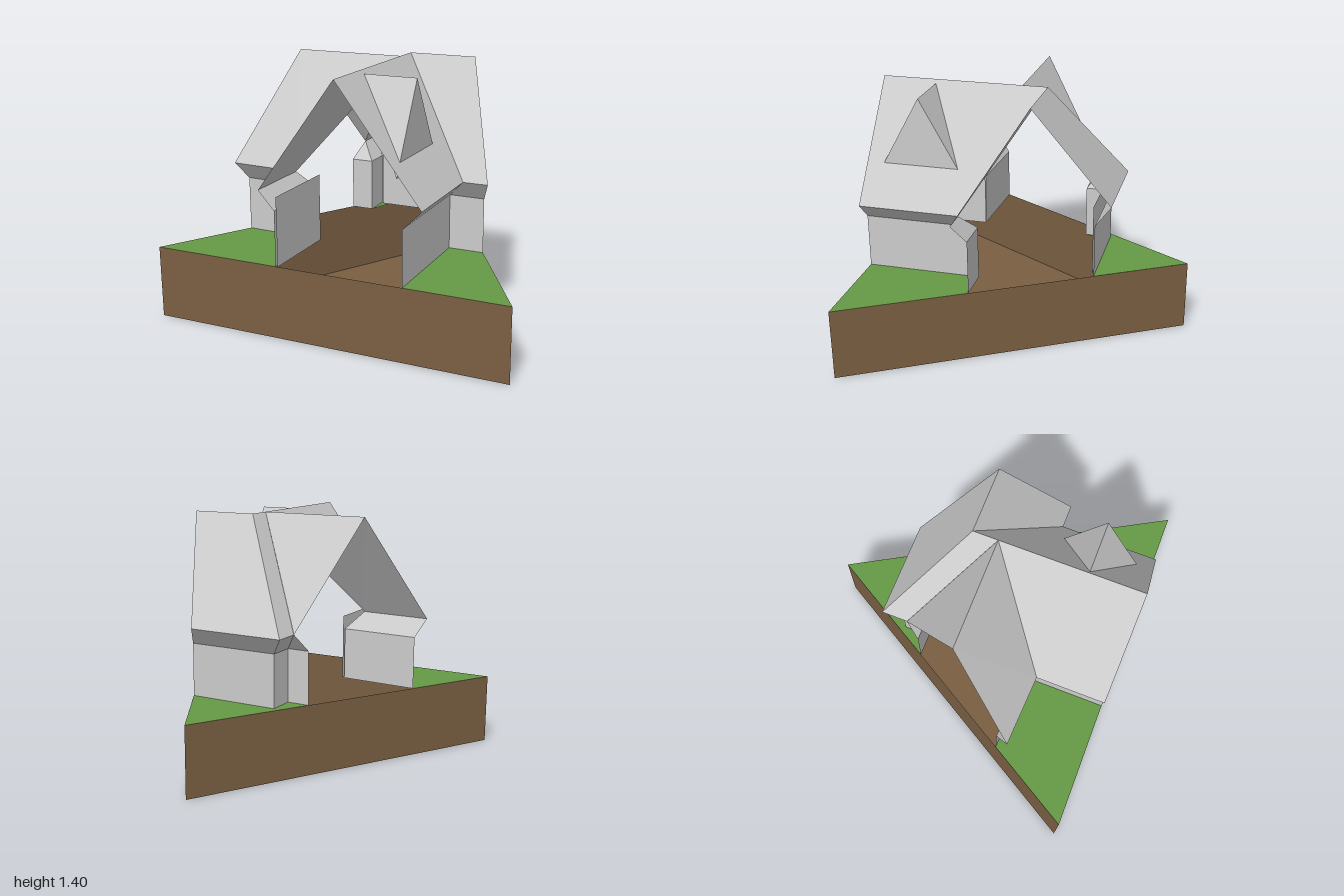
import * as THREE from 'three';

const grey = new THREE.MeshStandardMaterial({ color: 0xcccccc, side: THREE.DoubleSide, flatShading: true });
const soil = new THREE.MeshStandardMaterial({ color: 0x7a5f42, side: THREE.DoubleSide, flatShading: true });
const grass = new THREE.MeshStandardMaterial({ color: 0x669944, side: THREE.DoubleSide, flatShading: true });

// Mesh from convex faces, each a loop of [x, y, z] corners
function faces(name, material, loops) {
  const pos = [];
  for (const l of loops) {
    for (let i = 1; i < l.length - 1; i++) pos.push(...l[0], ...l[i], ...l[i + 1]);
  }
  const geo = new THREE.BufferGeometry();
  geo.setAttribute('position', new THREE.Float32BufferAttribute(pos, 3));
  geo.computeVertexNormals();
  const mesh = new THREE.Mesh(geo, material);
  mesh.name = name;
  return mesh;
}

// Lift [x, z] plan points to a height
const at = (y, plan) => plan.map(([x, z]) => [x, y, z]);

// Quads joining two plan lines at two heights
function strip(low, yLow, high, yHigh) {
  const a = at(yLow, low), b = at(yHigh, high);
  return a.slice(1).map((p, i) => [a[i], p, b[i + 1], b[i]]);
}

const GROUND = 0.4, WALL = 0.7, EAVE = 0.8, RIDGE = 1.4, H = 0.866;

export function createModel() {
  const model = new THREE.Group();

  // Triangular base, open on top beneath the house
  const tri = [[-1, H], [1, H], [0, -H]];
  const loop = [...tri, tri[0]];
  model.add(faces('base', soil, [
    at(0, [tri[0], tri[2], tri[1]]),
    ...strip(loop, 0, loop, GROUND),
  ]));

  // Wall lines and matching eave lines for the three corners of the plot
  const corners = [
    { name: 'left', // around the front -x corner
      wall: [[-0.72, 0.38], [-0.27, 0.4], [-0.27, H]],
      eave: [[-0.763, 0.455], [-0.36, 0.475], [-0.36, H]], tip: tri[0] },
    { name: 'right', // around the front +x corner
      wall: [[0.44, H], [0.44, 0.23], [0.633, 0.23]],
      eave: [[0.54, H], [0.54, 0.305], [0.676, 0.305]], tip: tri[1] },
    { name: 'rear',
      wall: [[0.28, -0.38], [-0.24, -0.38], [-0.24, -0.23], [-0.367, -0.23]],
      eave: [[0.235, -0.46], [-0.32, -0.46], [-0.32, -0.31], [-0.321, -0.31]], tip: tri[2] },
  ];
  for (const { name, wall, eave, tip } of corners) {
    model.add(faces(name + 'Walls', grey, strip(wall, GROUND, wall, WALL)));
    model.add(faces(name + 'Soffit', grey, strip(wall, WALL, eave, EAVE)));
    // Lawn as a fan from the plot's tip
    model.add(faces(name + 'Lawn', grass, [at(GROUND, [tip, ...wall])]));
  }

  // Inner wall panels
  const rear = [[-0.225, -0.365], [0.25, -0.365]];
  const side = [[-0.258, 0.4], [-0.258, H]];
  model.add(faces('innerRearPanel', grey, strip(rear, GROUND, rear, EAVE)));
  model.add(faces('innerSidePanel', grey, strip(side, GROUND, side, 0.775)));

  // Thin roof: three wings, open at the gables
  const r = (x, z) => [x, RIDGE, z], e = (x, z) => [x, EAVE, z];
  const jointA = r(0.08, 0.07), jointB = r(0.08, -0.07), front = r(0.08, H);
  const leftEnd = r(-0.54, 0.07), rightEnd = r(0.46, -0.07);
  model.add(faces('frontWingRoof', grey, [
    [jointA, e(-0.36, 0.475), e(-0.36, H), front],
    [jointB, front, e(0.54, H), e(0.54, 0.305)],
  ]));
  model.add(faces('leftWingRoof', grey, [
    [leftEnd, e(-0.763, 0.455), e(-0.36, 0.475), jointA],
    [leftEnd, jointA, e(-0.321, -0.31)],
    [jointA, jointB, e(-0.32, -0.46), e(-0.32, -0.31)],
  ]));
  model.add(faces('rightWingRoof', grey, [
    [jointB, e(0.54, 0.305), e(0.676, 0.305), rightEnd],
    [jointB, rightEnd, e(0.235, -0.46), e(-0.32, -0.46)],
  ]));

  // Pointed dormer on the front wing
  const tail = [0.095, 1.38, 0.56], peak = [0.385, 1.38, 0.56];
  const a = [0.385, 0.93, 0.81], b = [0.385, 0.93, 0.31];
  model.add(faces('dormer', grey, [[tail, a, peak], [tail, peak, b], [peak, a, b]]));

  return model;
}
